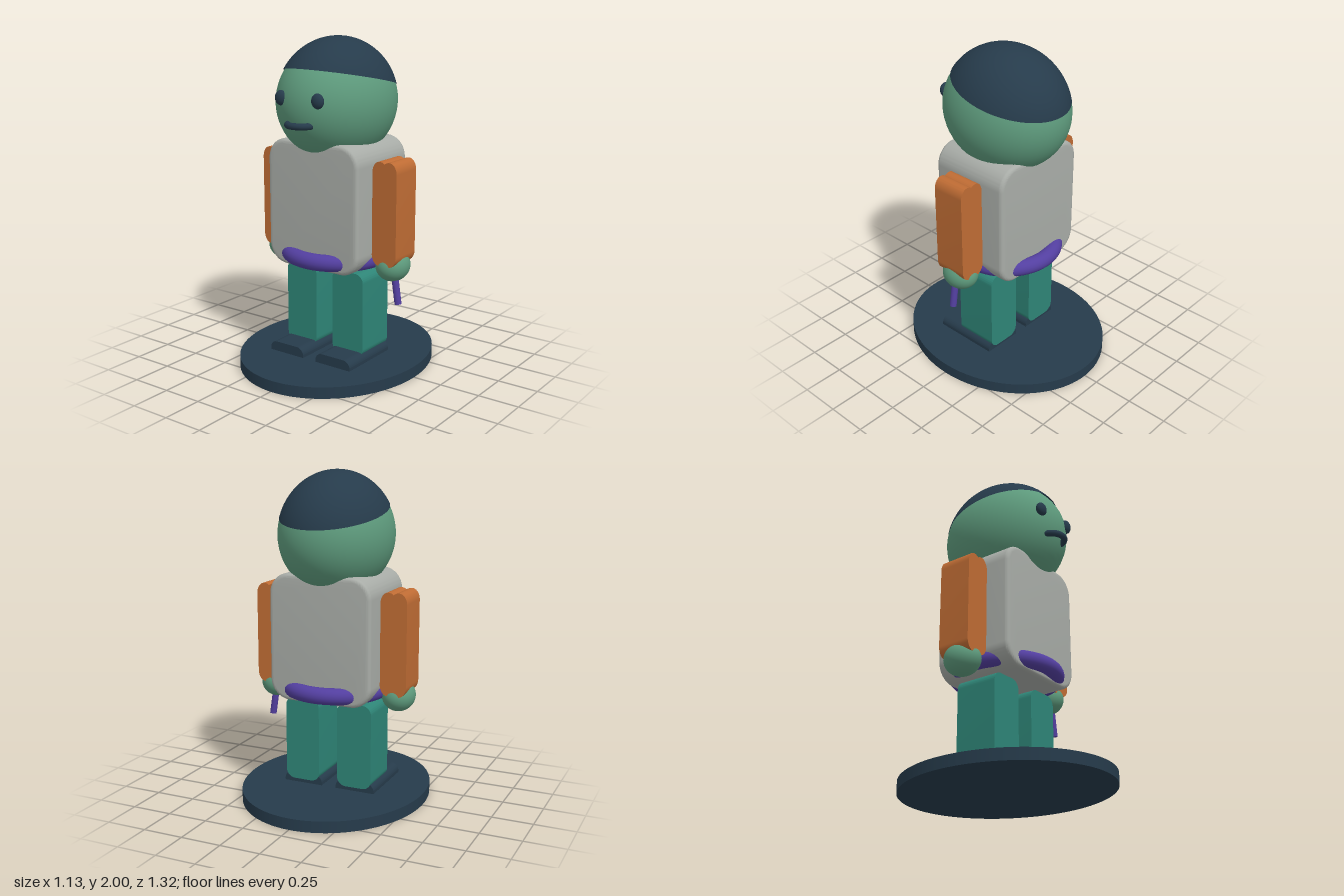
import * as THREE from 'three';
import { toCreasedNormals } from 'three/addons/utils/BufferGeometryUtils.js';

const mat = (name, color) => {
  const m = new THREE.MeshStandardMaterial({ color });
  m.name = name;
  return m;
};

// Rounded rectangle centred on the origin
function roundedRect(w, h, r) {
  const x = w / 2, y = h / 2, s = new THREE.Shape();
  s.moveTo(x, y - r);
  s.absarc(x - r, y - r, r, 0, Math.PI / 2);
  s.absarc(-x + r, y - r, r, Math.PI / 2, Math.PI);
  s.absarc(-x + r, -y + r, r, Math.PI, Math.PI * 1.5);
  s.absarc(x - r, -y + r, r, Math.PI * 1.5, Math.PI * 2);
  return s;
}

// Sleeve outline: rounded corners meeting in a shallow notch at each end
function sleeveShape(w, h) {
  const x = w / 2, y = h / 2, s = new THREE.Shape();
  const c = 0.065, p = 0.035, n = 0.013;
  s.moveTo(x, y - c);
  s.bezierCurveTo(x, y - c / 2, x - 0.02, y, p, y);
  s.quadraticCurveTo(0.012, y, 0, y - n);
  s.quadraticCurveTo(-0.012, y, -p, y);
  s.bezierCurveTo(-x + 0.02, y, -x, y - c / 2, -x, y - c);
  s.lineTo(-x, -y + c);
  s.bezierCurveTo(-x, -y + c / 2, -x + 0.02, -y, -p, -y);
  s.quadraticCurveTo(-0.012, -y, 0, -y + n);
  s.quadraticCurveTo(0.012, -y, p, -y);
  s.bezierCurveTo(x - 0.02, -y, x, -y + c / 2, x, -y + c);
  return s;
}

// Extrude along z, centred, with an optional rounded rim of radius b
function slab(shape, depth, b = 0) {
  const g = new THREE.ExtrudeGeometry(shape, {
    depth: depth - 2 * b, curveSegments: 12, bevelEnabled: b > 0,
    bevelSize: b, bevelThickness: b, bevelOffset: -b, bevelSegments: 5,
  });
  g.translate(0, 0, -depth / 2 + b);
  return toCreasedNormals(g, 0.6);
}

export function createModel() {
  const navy = mat('navy', 0x263b4b);
  const green = mat('green', 0x5e9b7d);
  const grey = mat('grey', 0xa8aca7);
  const orange = mat('orange', 0xbf6c34);
  const teal = mat('teal', 0x2e8577);
  const purple = mat('purple', 0x533fa0);

  const model = new THREE.Group();
  model.name = 'figure';
  const add = (name, geo, material, x, y, z) => {
    const m = new THREE.Mesh(geo, material);
    m.name = name;
    m.position.set(x, y, z);
    model.add(m);
    return m;
  };
  const ball = (rx, ry, rz) => new THREE.SphereGeometry(1, 48, 32).scale(rx, ry, rz);

  // Oval stand
  add('base', new THREE.CylinderGeometry(1, 1, 0.07, 96).scale(0.567, 1, 0.66), navy, 0, 0.035, 0);

  // Torso and belt ring
  add('torso', slab(roundedRect(0.65, 0.77, 0.125), 0.52, 0.025), grey, 0, 1.02, 0);
  add('belt', new THREE.TorusGeometry(0.295, 0.05, 20, 72).rotateX(Math.PI / 2), purple, 0, 0.7, 0);

  // Head and tilted cap of hair
  add('head', ball(0.34, 0.36, 0.4), green, 0, 1.62, 0);
  const cap = new THREE.SphereGeometry(1, 64, 28, 0, Math.PI * 2, 0, 1.193);
  cap.rotateX(-0.2146).scale(0.342, 0.38, 0.402);
  const hair = navy.clone();
  hair.name = 'navy hair';
  hair.side = THREE.DoubleSide;
  add('hair', cap, hair, 0, 1.62, 0);

  // Curved mouth bar with rounded ends
  add('mouth', new THREE.TorusGeometry(0.08, 0.02, 12, 32, Math.PI).rotateX(Math.PI / 2),
    navy, 0, 1.52, 0.345);

  // Mirrored parts
  for (const [side, s] of [['left', 1], ['right', -1]]) {
    add(side + 'Eye', ball(0.04, 0.044, 0.028), navy, s * 0.13, 1.665, 0.366);
    add(side + 'Arm', slab(sleeveShape(0.165, 0.62), 0.21), orange, s * 0.407, 1.0, 0);
    add(side + 'Hand', ball(0.1, 0.098, 0.114), green, s * 0.406, 0.677, 0);
    add(side + 'Leg', slab(roundedRect(0.222, 0.525, 0.055), 0.27), teal, s * 0.172, 0.3575, 0);
    add(side + 'Shoe', slab(roundedRect(0.252, 0.1, 0.048), 0.415), navy, s * 0.173, 0.08, 0.083);
  }

  // Short stick held in the left hand
  add('stick', new THREE.CylinderGeometry(0.021, 0.021, 0.22, 20), purple, 0.442, 0.556, 0.02)
    .rotation.z = 0.15;

  return model;
}
